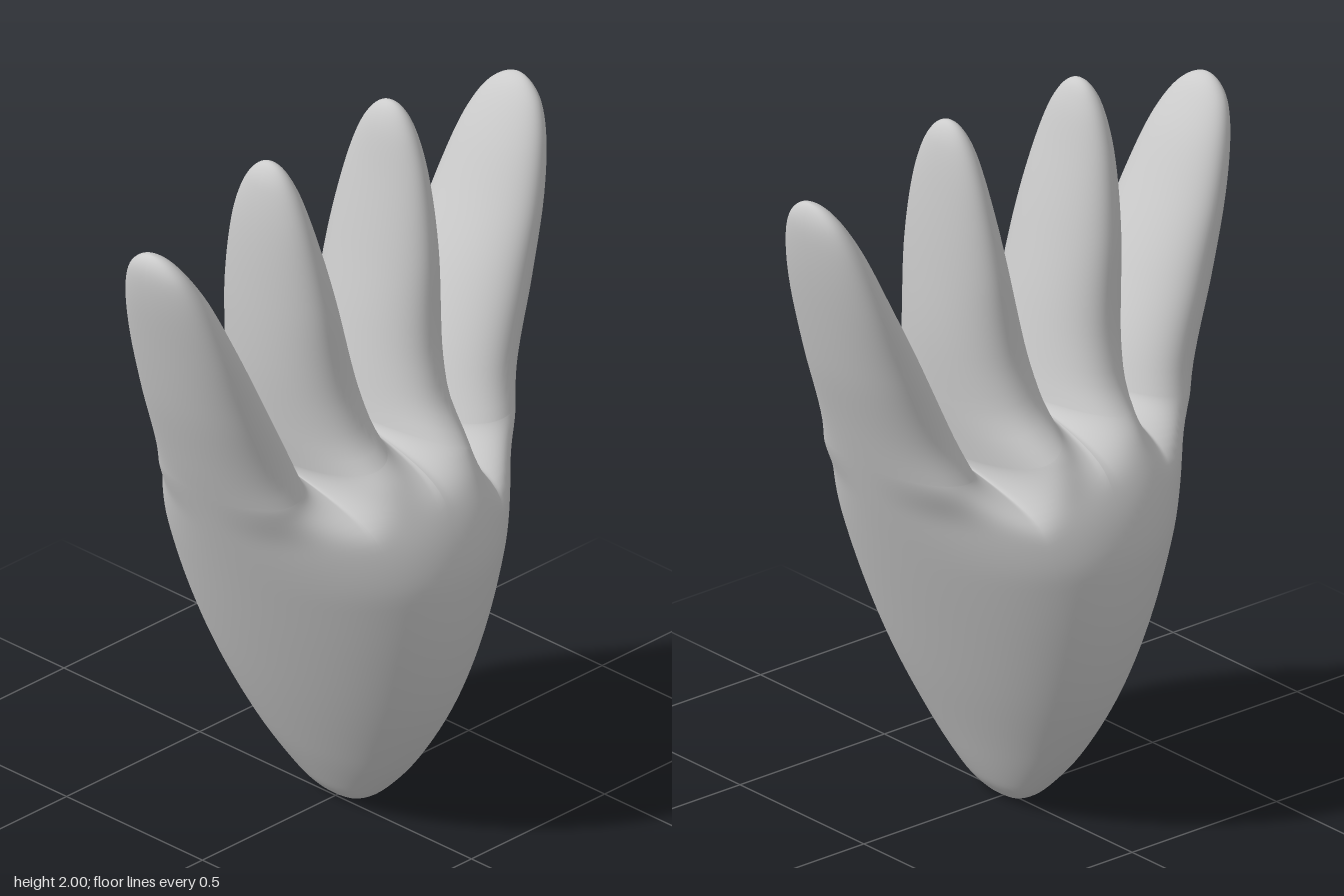
import * as THREE from 'three';
import { mergeVertices, mergeGeometries } from 'three/addons/utils/BufferGeometryUtils.js';

const { lerp, smoothstep } = THREE.MathUtils;

// Smooth curve through [t, value] pairs sorted by t, straight beyond the last pair
function spline(pts) {
  const n = pts.length;
  const slope = (i) => {
    const a = pts[Math.max(i - 1, 0)], b = pts[Math.min(i + 1, n - 1)];
    return (b[1] - a[1]) / (b[0] - a[0]);
  };
  return (t) => {
    if (t <= pts[0][0]) return pts[0][1];
    if (t >= pts[n - 1][0]) return pts[n - 1][1] + slope(n - 1) * (t - pts[n - 1][0]);
    let i = 0;
    while (t > pts[i + 1][0]) i++;
    const d = pts[i + 1][0] - pts[i][0], k = (t - pts[i][0]) / d, k2 = k * k, k3 = k2 * k;
    return (2 * k3 - 3 * k2 + 1) * pts[i][1] + (k3 - 2 * k2 + k) * d * slope(i)
      + (3 * k2 - 2 * k3) * pts[i + 1][1] + (k3 - k2) * d * slope(i + 1);
  };
}

// Curve over height that rounds off at the tip; pairs are [y, value], rising
function towardsTip(tip, pts) {
  const f = spline(pts.map(([y, v]) => [Math.sqrt(tip - y), v]).reverse());
  return (y) => f(Math.sqrt(Math.max(tip - y, 0)));
}

const BASE_X = 0.015;

// Gaps between fingers: x and height of the lowest point
const gaps = [[-0.265, 1.125], [-0.005, 1.17], [0.245, 1.07]];

// Edge of a finger beside a gap: 'free' is its own line, 'x' follows the shared seam in the palm
function gapEdge([gx, c], tip, pts) {
  const free = towardsTip(tip, [[c, gx], ...pts]);
  return { c, free, x: (y) => (y <= c ? lerp(BASE_X, gx, y / c) : free(y)) };
}

function outerEdge(tip, pts) {
  const free = towardsTip(tip, pts);
  return { c: 1.1, free, x: free };
}

const leftmost = outerEdge(1.88, [[0, 0.015], [0.015, -0.012], [0.06, -0.047], [0.2, -0.127], [0.4, -0.226], [0.6, -0.315],
  [0.8, -0.397], [1, -0.475], [1.2, -0.55], [1.4, -0.617], [1.6, -0.67], [1.75, -0.703], [1.84, -0.71], [1.88, -0.685]]);
const rightmost = outerEdge(1.9, [[0, 0.015], [0.015, 0.038], [0.06, 0.073], [0.2, 0.143], [0.4, 0.237], [0.6, 0.323],
  [0.8, 0.404], [1, 0.48], [1.2, 0.55], [1.4, 0.617], [1.6, 0.67], [1.75, 0.7], [1.85, 0.708], [1.9, 0.685]]);

// Half depth of the fingers by distance below the tip
const innerDepth = [[1.2, 0.475], [1, 0.425], [0.9, 0.36], [0.8, 0.265], [0.7, 0.222], [0.6, 0.202],
  [0.4, 0.18], [0.2, 0.138], [0.1, 0.102], [0.045, 0.07], [0.01, 0.034], [0, 0]];
const outerDepth = [[1.1, 0.4], [0.9, 0.305], [0.8, 0.25], [0.7, 0.219], [0.5, 0.197], [0.3, 0.174],
  [0.15, 0.14], [0.06, 0.098], [0.02, 0.058], [0.005, 0.029], [0, 0]];

const fingers = [
  { tip: 1.88, depth: outerDepth, a: leftmost,
    b: gapEdge(gaps[0], 1.88, [[1.2, -0.295], [1.4, -0.39], [1.6, -0.49], [1.75, -0.567], [1.83, -0.62], [1.88, -0.685]]) },
  { tip: 1.99, depth: innerDepth,
    a: gapEdge(gaps[0], 1.99, [[1.2, -0.277], [1.4, -0.297], [1.6, -0.305], [1.8, -0.302], [1.93, -0.286], [1.975, -0.267], [1.99, -0.245]]),
    b: gapEdge(gaps[1], 1.99, [[1.25, -0.025], [1.4, -0.06], [1.6, -0.11], [1.8, -0.163], [1.93, -0.2], [1.975, -0.222], [1.99, -0.245]]) },
  { tip: 2, depth: innerDepth,
    a: gapEdge(gaps[1], 2, [[1.25, 0.012], [1.4, 0.045], [1.6, 0.09], [1.8, 0.132], [1.94, 0.162], [1.985, 0.183], [2, 0.205]]),
    b: gapEdge(gaps[2], 2, [[1.2, 0.26], [1.4, 0.273], [1.6, 0.272], [1.8, 0.262], [1.94, 0.245], [1.985, 0.227], [2, 0.205]]) },
  { tip: 1.9, depth: outerDepth, b: rightmost,
    a: gapEdge(gaps[2], 1.9, [[1.2, 0.3], [1.4, 0.39], [1.6, 0.49], [1.75, 0.563], [1.85, 0.622], [1.9, 0.685]]) },
];
for (const f of fingers) f.half = towardsTip(f.tip, f.depth.map(([d, v]) => [f.tip - d, v]));

// Half depth of a slightly full oval section spanning l to r
function oval(x, l, r, depth) {
  if (r - l < 1e-6) return 0;
  const u = Math.abs((2 * x - l - r) / (r - l));
  return depth * Math.sqrt(Math.max(1 - u ** 2.12, 0));
}

const palmDepth = spline([[0, 0], [0.05, 0.135], [0.1, 0.19], [0.2, 0.275], [0.4, 0.388], [0.6, 0.45],
  [0.8, 0.474], [0.9, 0.462], [1, 0.425], [1.1, 0.36], [1.2, 0.265]].map(([y, d]) => [Math.sqrt(y), d]));
const palmHeight = (x, y) => oval(x, leftmost.x(y), rightmost.x(y), palmDepth(Math.sqrt(y)));
const fingerHeight = (f, x, y) => oval(x, f.a.free(y), f.b.free(y), f.half(y));

const COLS = 32, PALM_ROWS = 60, FINGER_ROWS = 40, BLEND = 0.17;

// One side (front +1, back -1) of a finger and the part of the palm below it
function sheet(finger, side) {
  const { tip, a, b } = finger, pos = [], idx = [];
  const rows = PALM_ROWS + FINGER_ROWS;
  for (let j = 0; j <= rows; j++) {
    for (let i = 0; i <= COLS; i++) {
      const k = (1 - Math.cos(Math.PI * i / COLS)) / 2;
      const c = lerp(a.c, b.c, k);
      const inPalm = j <= PALM_ROWS;
      const y = inPalm ? c * (1 - Math.cos(Math.PI * j / PALM_ROWS)) / 2
        : c + (tip - c) * Math.sin(Math.PI / 2 * (j - PALM_ROWS) / FINGER_ROWS);
      const x = lerp(a.x(y), b.x(y), k);
      let h = fingerHeight(finger, x, y);
      if (inPalm) {
        // Just below the gaps the fingers join softly and melt into the palm
        const union = Math.cbrt(fingers.reduce((sum, f) => sum + fingerHeight(f, x, y) ** 3, 0));
        const w = smoothstep(y, c - BLEND, c) ** 2;
        h = Math.sqrt(lerp(palmHeight(x, y) ** 2, union ** 2, w));
      }
      pos.push(x, y, side * h);
      if (i < COLS && j < rows) {
        const p = j * (COLS + 1) + i, q = p + COLS + 1;
        if (side > 0) idx.push(p, p + 1, q + 1, p, q + 1, q);
        else idx.push(p, q + 1, p + 1, p, q, q + 1);
      }
    }
  }
  const g = new THREE.BufferGeometry();
  g.setAttribute('position', new THREE.Float32BufferAttribute(pos, 3));
  g.setIndex(idx);
  return g;
}

export function createModel() {
  const group = new THREE.Group();
  group.name = 'fourFingeredHand';
  const sheets = fingers.flatMap((f) => [sheet(f, 1), sheet(f, -1)]);
  const geometry = mergeVertices(mergeGeometries(sheets), 1e-5);
  geometry.computeVertexNormals();
  const hand = new THREE.Mesh(geometry, new THREE.MeshStandardMaterial({ color: 0xcccccc }));
  hand.name = 'palmAndFingers';
  group.add(hand);
  return group;
}
